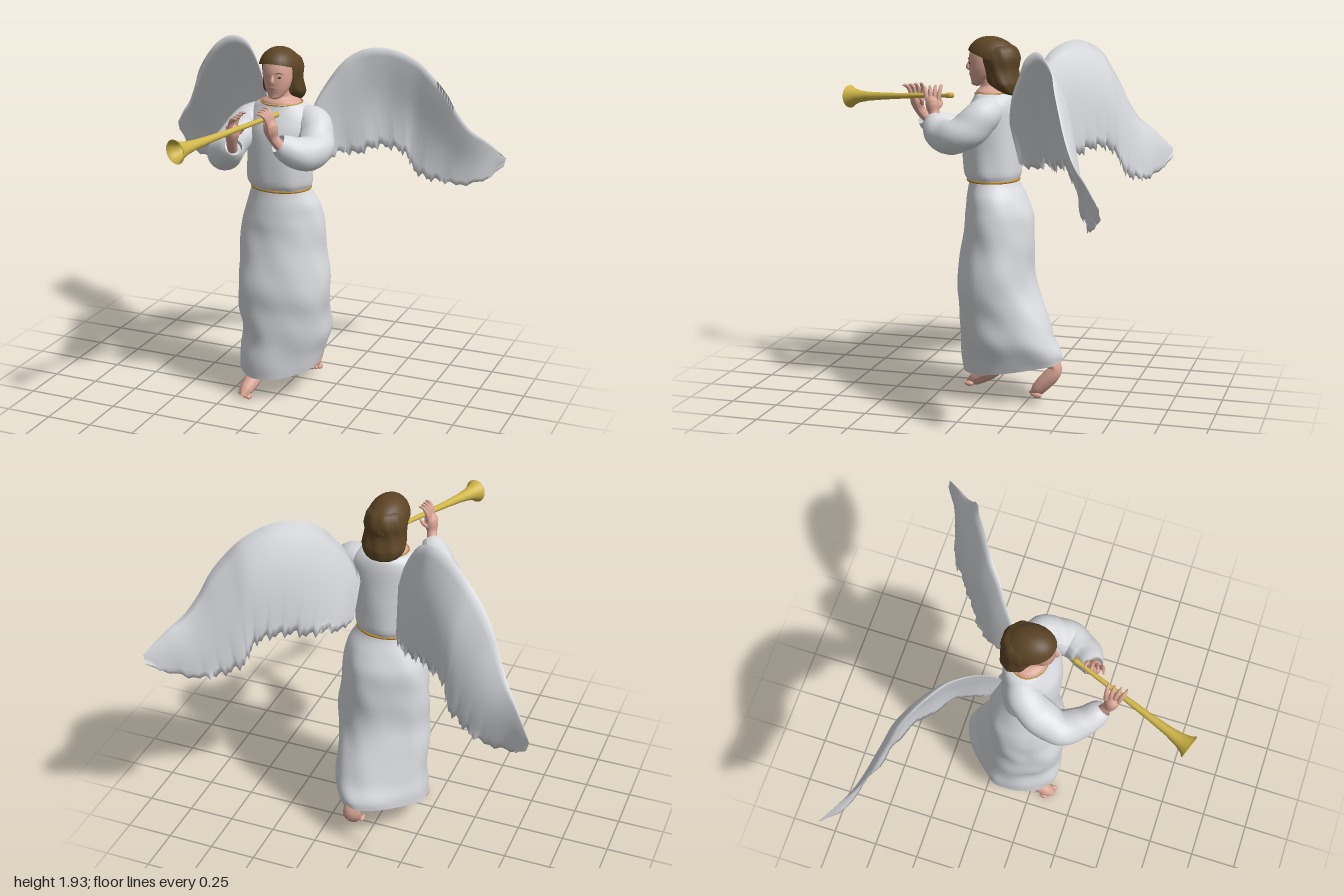
import * as THREE from 'three';

const V = (x, y, z) => new THREE.Vector3(x, y, z);
const mat = (name, color, side = THREE.FrontSide) => {
  const m = new THREE.MeshStandardMaterial({ color, side });
  m.name = name;
  return m;
};

// Surface through closed rings: fn(u, v, row, column) gives each point
function rings(rows, cols, fn) {
  const pos = [], idx = [];
  for (let i = 0; i <= rows; i++)
    for (let j = 0; j < cols; j++) pos.push(...fn(i / rows, j / cols, i, j).toArray());
  for (let i = 0; i < rows; i++)
    for (let j = 0; j < cols; j++) {
      const k = (j + 1) % cols, a = i * cols + j, b = i * cols + k;
      idx.push(a, b, b + cols, a, b + cols, a + cols);
    }
  const g = new THREE.BufferGeometry();
  g.setAttribute('position', new THREE.Float32BufferAttribute(pos, 3));
  g.setIndex(idx);
  g.computeVertexNormals();
  return g;
}

// Upright loft; sections are [y, centreX, centreZ, radiusX, radiusZ, tilt]
function loft(sections, rows, cols, fold = () => 0, sway = x => x) {
  const mid = new THREE.CatmullRomCurve3(sections.map(s => V(s[1], s[0], s[2])));
  const rad = new THREE.CatmullRomCurve3(sections.map(s => V(s[3], s[5] || 0, s[4])));
  return rings(rows, cols, (u, v) => {
    const c = mid.getPoint(u), r = rad.getPoint(u), t = v * Math.PI * 2, k = 1 + fold(t, c.y);
    const x = c.x + Math.max(r.x, 0.001) * k * Math.sin(t), z = c.z + Math.max(r.z, 0.001) * k * Math.cos(t);
    return V(sway(x, z), c.y - r.y * Math.cos(t), z);
  });
}

// Tube of changing thickness; points are [x, y, z, radius]
function limb(points, rows = 16, cols = 12, fold = () => 0) {
  const curve = new THREE.CatmullRomCurve3(points.map(p => V(p[0], p[1], p[2])));
  const g = new THREE.TubeGeometry(curve, rows, 1, cols);
  const p = g.attributes.position, v = V(0, 0, 0);
  for (let i = 0; i <= rows; i++) {
    const c = curve.getPointAt(i / rows);
    const t = curve.getUtoTmapping(i / rows) * (points.length - 1);
    const a = Math.min(Math.floor(t), points.length - 2);
    const r = THREE.MathUtils.lerp(points[a][3], points[a + 1][3], t - a);
    for (let j = 0; j <= cols; j++) {
      const n = i * (cols + 1) + j;
      v.fromBufferAttribute(p, n).sub(c).multiplyScalar(r * (1 + fold(i / rows, j / cols * Math.PI * 2))).add(c);
      p.setXYZ(n, v.x, v.y, v.z);
    }
  }
  g.computeVertexNormals();
  return g;
}

function wingGeometry() {
  const lead = new THREE.CatmullRomCurve3([
    [.1, 1.5, -.16], [.14, 1.63, -.185], [.2, 1.75, -.24], [.26, 1.835, -.285], [.33, 1.88, -.345],
    [.41, 1.89, -.395], [.49, 1.87, -.445], [.58, 1.815, -.5], [.66, 1.73, -.535], [.73, 1.63, -.575],
    [.78, 1.52, -.615], [.84, 1.42, -.67], [.91, 1.35, -.74], [1, 1.24, -.83]].map(p => V(...p)));
  const trail = new THREE.CatmullRomCurve3([
    [.12, 1.29, -.22], [.15, 1.28, -.315], [.205, 1.31, -.385], [.27, 1.3, -.44], [.335, 1.325, -.485],
    [.4, 1.33, -.53], [.46, 1.31, -.57], [.51, 1.27, -.6], [.54, 1.19, -.63], [.6, 1.14, -.66],
    [.67, 1.12, -.69], [.75, 1.1, -.72], [.89, 1.12, -.77], [.99, 1.19, -.83]].map(p => V(...p)));
  const rows = 66, half = 12, back = V(-.6, 0, -.8);
  return rings(rows, half * 2, (u, _, i, j) => {
    const rear = j > half;
    const v = (rear ? half * 2 - j : j) / half;
    const jag = i < rows - 1 ? [0, .035, .02, .06, -.01][i % 5] * v * v * v : 0;
    const p = lead.getPoint(u).lerp(trail.getPoint(u), v + jag);
    const thick = Math.sin(Math.PI * u) * .026 * Math.sin(Math.PI * Math.min(1, v * 2.2 + .04) * .5) * (1.1 - v);
    const ripple = rear ? 0 : .007 * Math.sin(u * 30 + v * 3) * v;
    return p.addScaledVector(back, .035 * Math.sin(Math.PI * v) * Math.sin(Math.PI * u) + ripple + (rear ? thick : -thick));
  });
}

export function createModel() {
  const model = new THREE.Group();
  model.name = 'angelWithTrumpet';
  const white = mat('whiteCloth', 0xd9dbdf, THREE.DoubleSide);
  const skin = mat('skin', 0xd9a595, THREE.DoubleSide);
  const hairM = mat('brownHair', 0x5c4425);
  const brass = mat('brass', 0xcfb648, THREE.DoubleSide);
  const gold = mat('goldCord', 0xc08c30);
  const dark = mat('darkEyes', 0x3d2b22);
  const lip = mat('lips', 0xb87869);
  const add = (name, geo, m, parent = model) => {
    const o = new THREE.Mesh(geo, m);
    o.name = name;
    parent.add(o);
    return o;
  };
  const ball = (name, m, x, y, z, rx, ry, rz, parent) => {
    const o = add(name, new THREE.SphereGeometry(1, 16, 12), m, parent);
    o.position.set(x, y, z);
    o.scale.set(rx, ry, rz);
    return o;
  };

  // Gown: long skirt trailing to a narrow back, its lining, and a bloused bodice
  const trailing = (x, z) => {
    const d = Math.max(0, -.2 - z);
    return x * (1 - 1.1 * d) + .34 * d - .22 * Math.max(0, z);
  };
  const folds = (t, y) => .014 * Math.min(1, (1.2 - y) * 4) *
    (Math.sin(5 * t + y * 6) + .8 * Math.sin(3 * t - y * 15) + .5 * Math.sin(2 * t + y * 32) + .4 * Math.sin(9 * t + y * 21));
  add('skirt', loft([
    [.18, -.036, -.155, .218, .283, .05], [.25, -.025, -.152, .23, .285, .03], [.35, 0, -.135, .237, .265, .01],
    [.5, 0, -.1, .245, .243], [.65, .01, -.068, .25, .216], [.85, 0, -.08, .238, .195],
    [1, 0, -.083, .225, .183], [1.1, .005, -.068, .195, .158], [1.16, 0, -.055, .168, .137],
    [1.19, 0, -.05, .155, .13]], 48, 60, folds, trailing), white);
  add('skirtLining', loft([[.18, -.036, -.155, .216, .281, .05], [.22, -.03, -.15, .17, .22, .04],
    [.26, -.02, -.14, .01, .01, 0]], 8, 60, folds, trailing), white);
  add('bodice', loft([
    [1.18, 0, -.05, .155, .13], [1.23, -.003, -.045, .177, .15], [1.35, 0, -.04, .177, .152],
    [1.5, .008, -.04, .185, .145], [1.58, .008, -.055, .18, .125], [1.625, 0, -.06, .145, .108],
    [1.642, 0, -.052, .113, .095], [1.638, 0, -.05, .09, .075]], 24, 48,
  (t, y) => y < 1.5 ? .014 * Math.sin(7 * t + y * 8) * (1.5 - y) * 4 : 0), white);

  // Cord around the waist and trim around the neck
  const loop = (y, rx, rz, dip, r) => {
    const pts = [];
    for (let i = 0; i < 24; i++) {
      const t = i / 24 * Math.PI * 2;
      pts.push(V(rx * Math.sin(t), y - dip * Math.cos(t), -.05 + rz * Math.cos(t)));
    }
    return new THREE.TubeGeometry(new THREE.CatmullRomCurve3(pts, true), 48, r, 8, true);
  };
  add('waistCord', loop(1.187, .157, .132, 0, .008), gold);
  add('neckTrim', loop(1.642, .112, .095, .004, .004), gold);

  // Neck and head
  add('neck', loft([[1.625, 0, -.05, .112, .095], [1.65, 0, -.049, .104, .088], [1.664, 0, -.044, .075, .07],
    [1.68, 0, -.038, .055, .056], [1.74, 0, -.02, .048, .05]], 14, 28), skin);
  const head = new THREE.Group();
  head.name = 'head';
  model.add(head);
  add('face', loft([[1.672, .003, .04, .005, .005], [1.68, .003, .038, .026, .03], [1.7, .003, .02, .047, .05],
    [1.73, .003, .008, .063, .069], [1.77, .003, .001, .073, .08], [1.82, 0, -.003, .077, .086],
    [1.87, 0, -.01, .07, .08], [1.91, 0, -.02, .03, .04]], 24, 28), skin, head);
  add('nose', limb([[.006, 1.805, .076, .006], [.006, 1.785, .083, .01], [.006, 1.768, .086, .014],
    [.006, 1.757, .078, .006]], 8, 8), skin, head);
  for (const s of [-1, 1]) {
    const eye = ball('eye', dark, .006 + s * .031, 1.793, .069, .012, .006, .005, head);
    eye.rotation.y = s * .4;
    add('eyebrow', limb([[.006 + s * .016, 1.812, .08, .002], [.006 + s * .033, 1.816, .074, .003],
      [.006 + s * .05, 1.81, .063, .001]], 6, 6), hairM, head);
  }
  ball('mouth', lip, .005, 1.735, .075, .02, .006, .005, head);

  // Hair: cap swept off the brow and shoulder-length back
  const cap = add('hairCap', new THREE.SphereGeometry(1, 28, 14, 0, Math.PI * 2, 0, Math.PI * .5), hairM, head);
  cap.scale.set(.107, .112, .142);
  cap.position.set(-.005, 1.816, -.048);
  cap.rotation.x = -.33;
  add('hairBack', loft([[1.625, -.003, -.15, .01, .01], [1.638, -.003, -.145, .07, .042], [1.665, -.005, -.125, .1, .068],
    [1.7, -.005, -.105, .113, .088], [1.76, -.005, -.09, .107, .088], [1.82, -.005, -.082, .108, .105],
    [1.87, -.005, -.07, .095, .1], [1.9, -.005, -.06, .05, .06]], 24, 40,
  (t, y) => .03 * Math.sin(9 * t + y * 25)), hairM, head);

  // Wings, mirrored
  const wing = wingGeometry();
  for (const s of [1, -1]) add(s > 0 ? 'leftWing' : 'rightWing', wing, white).scale.x = s;

  // Sleeves with loose folds
  const crease = (u, t) => .035 * Math.sin(u * 20 + 2 * t) * Math.sin(Math.PI * u);
  add('leftSleeve', limb([[.11, 1.565, -.065, .07], [.18, 1.54, -.045, .092], [.225, 1.47, .02, .094],
    [.235, 1.43, .1, .09], [.18, 1.445, .19, .083], [.125, 1.485, .235, .062], [.11, 1.5, .25, .048]], 30, 20, crease), white);
  add('rightSleeve', limb([[-.1, 1.565, -.065, .07], [-.16, 1.53, -.03, .09], [-.205, 1.46, .06, .092],
    [-.22, 1.405, .17, .092], [-.16, 1.425, .28, .08], [-.1, 1.475, .345, .06], [-.085, 1.49, .36, .045]], 30, 20, crease), white);

  // Hands holding the horn: palm, four fingers and a thumb
  const hand = (name, s, x, z, wrist) => {
    const g = new THREE.Group();
    g.name = name;
    model.add(g);
    add('palm', limb([[...wrist, .026], [x + s * .008, 1.53, z - .01, .028], [x, 1.57, z, .038],
      [x - s * .004, 1.605, z + .005, .034], [x - s * .008, 1.625, z + .005, .002]], 14, 12), skin, g);
    for (let i = 0; i < 4; i++) {
      const dz = (i - 1.5) * .02;
      add('finger', limb([[x, 1.595, z + dz, .013], [x - s * .012, 1.638, z + dz * 1.25 + .004, .012],
        [x - s * .034, 1.668 - i * .003, z + dz * 1.5 + .01, .009],
        [x - s * .056, 1.672 - i * .004, z + dz * 1.6 + .014, .004]], 10, 7), skin, g);
    }
    add('thumb', limb([[x, 1.555, z - .02, .014], [x - s * .03, 1.575, z - .035, .011],
      [x - s * .055, 1.6, z - .03, .004]], 8, 7), skin, g);
  };
  hand('leftHand', 1, .075, .26, [.12, 1.475, .235]);
  hand('rightHand', -1, -.075, .395, [-.1, 1.47, .34]);

  // Horn with flared bell
  const start = V(.065, 1.625, .155), dir = V(-.185, 1.57, .835).sub(start).normalize();
  const horn = add('trumpet', new THREE.LatheGeometry([[0, 0], [.014, 0], [.015, .025], [.011, .05], [.014, .3],
    [.019, .47], [.025, .58], [.034, .645], [.049, .69], [.062, .707], [.06, .711], [.045, .69], [.026, .635], [0, .57]]
    .map(p => new THREE.Vector2(...p)), 28), brass);
  horn.position.copy(start);
  horn.quaternion.setFromUnitVectors(V(0, 1, 0), dir);

  // Bare feet with toes; the left one trails behind with its heel raised
  const foot = (name, s, path, tx, ty, tz) => {
    const g = new THREE.Group();
    g.name = name;
    model.add(g);
    add('footAndAnkle', limb(path, 24, 14), skin, g);
    for (let i = 0; i < 5; i++)
      ball('toe', skin, tx + s * (i - 2) * .017, ty + .004 + i * .001, tz - .008 - i * .009, i ? .011 : .014, .014, .026, g);
  };
  foot('rightFoot', -1, [[-.152, .02, .14, .012], [-.148, .038, .1, .037], [-.138, .07, .045, .044],
    [-.125, .105, -.01, .045], [-.115, .14, -.04, .042], [-.1, .22, -.05, .04], [-.09, .34, -.06, .05]], -.15, .014, .13);
  foot('leftFoot', 1, [[.09, .06, -.285, .012], [.088, .082, -.315, .036], [.084, .125, -.355, .042],
    [.08, .165, -.392, .042], [.077, .2, -.412, .036], [.073, .24, -.385, .036], [.065, .34, -.28, .05]], .09, .052, -.28);

  return model;
}
